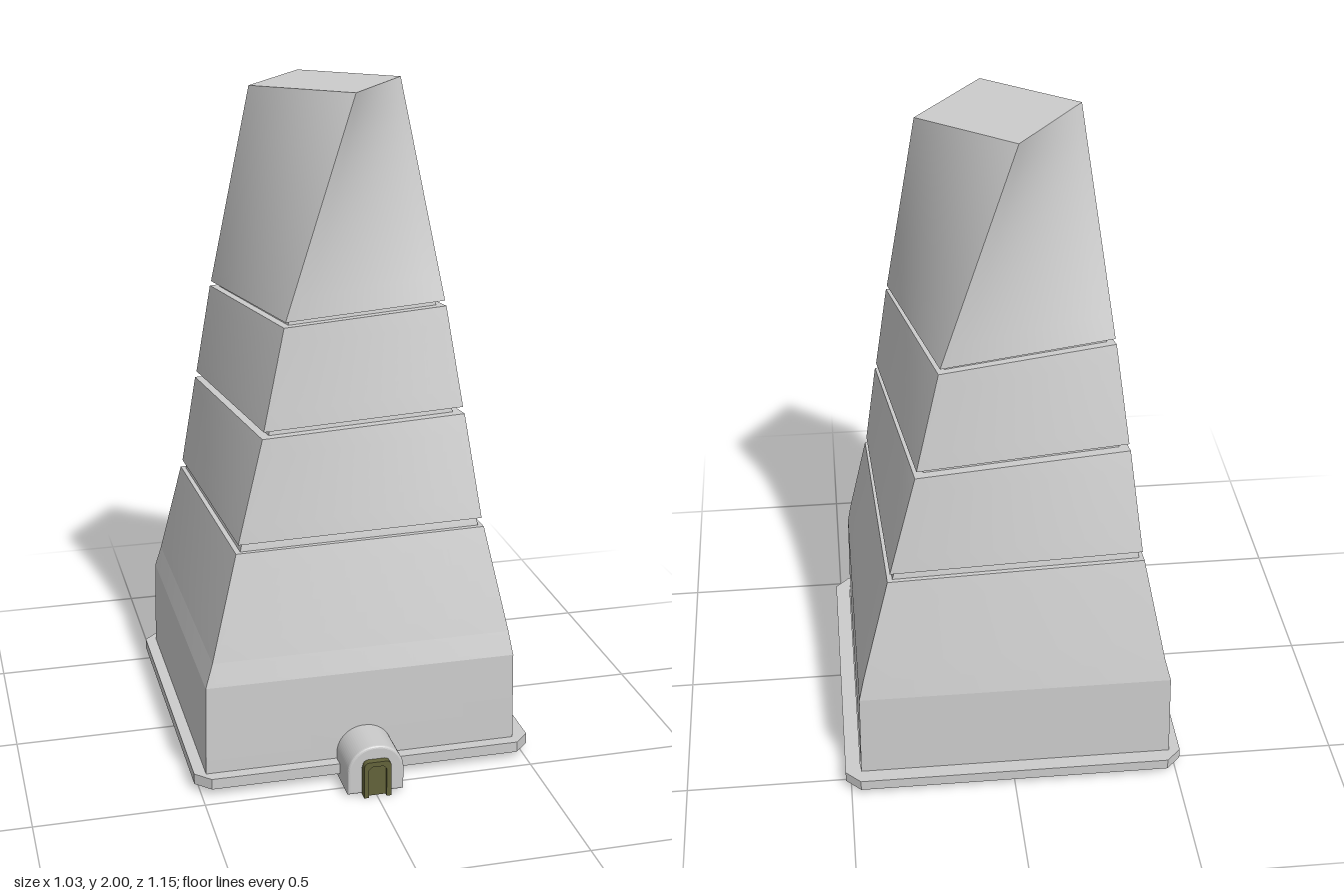
import * as THREE from 'three';

const grey = new THREE.MeshStandardMaterial({ color: 0xcccccc });
const greyOpen = new THREE.MeshStandardMaterial({ color: 0xcccccc, side: THREE.DoubleSide });
const olive = new THREE.MeshStandardMaterial({ color: 0x62623a, side: THREE.DoubleSide });

// Four corners of a turned square; (-a, b) is the front corner at the viewer's left
function ring([y, a, b, cx = 0, cz = -0.06]) {
  return [[-a, b], [b, a], [a, -b], [-b, -a]].map(([x, z]) => new THREE.Vector3(x + cx, y, z + cz));
}

// Smooth ruled patch between a lower and an upper edge
function patch(p, q, r, s, n) {
  const pos = [], idx = [];
  for (let j = 0; j <= n; j++) {
    for (let i = 0; i <= n; i++) {
      const low = p.clone().lerp(q, i / n), high = r.clone().lerp(s, i / n);
      pos.push(...low.lerp(high, j / n).toArray());
    }
  }
  for (let j = 0; j < n; j++) {
    for (let i = 0; i < n; i++) {
      const k = j * (n + 1) + i;
      idx.push(k, k + 1, k + n + 1, k + 1, k + n + 2, k + n + 1);
    }
  }
  const g = new THREE.BufferGeometry();
  g.setAttribute('position', new THREE.Float32BufferAttribute(pos, 3));
  g.setIndex(idx);
  g.computeVertexNormals();
  return g;
}

// Four walls joining each pair of neighbouring rings
function walls(levels, name, n = 6) {
  const group = new THREE.Group();
  group.name = name;
  const rings = levels.map(ring);
  for (let k = 0; k < rings.length - 1; k++) {
    for (let i = 0; i < 4; i++) {
      const j = (i + 1) % 4, lo = rings[k], hi = rings[k + 1];
      const mesh = new THREE.Mesh(patch(lo[i], lo[j], hi[i], hi[j], n), greyOpen);
      mesh.name = name + 'Wall';
      group.add(mesh);
    }
  }
  return group;
}

// Square outline with cut corners
function cutSquare(target, h, c) {
  const pts = [[-h + c, -h], [h - c, -h], [h, -h + c], [h, h - c], [h - c, h], [-h + c, h], [-h, h - c], [-h, -h + c]];
  return target.setFromPoints(pts.map(([x, y]) => new THREE.Vector2(x, y)));
}

// Arch-shaped rail section, open at the bottom
function archShape(w, top, r, iw, itop, ir, y0) {
  const s = new THREE.Shape();
  s.moveTo(w, y0);
  s.lineTo(w, top - r);
  s.absarc(w - r, top - r, r, 0, Math.PI / 2, false);
  s.absarc(-w + r, top - r, r, Math.PI / 2, Math.PI, false);
  s.lineTo(-w, y0);
  s.lineTo(-iw, y0);
  s.lineTo(-iw, itop - ir);
  s.lineTo(-iw + ir, itop);
  s.lineTo(iw - ir, itop);
  s.lineTo(iw, itop - ir);
  s.lineTo(iw, y0);
  s.closePath();
  return s;
}

export function createModel() {
  const model = new THREE.Group();

  // Hollow body: upright foot, then sections that twist as they rise
  model.add(walls([
    [0.05, 0.475, 0.475, -0.007, -0.055],
    [0.33, 0.47, 0.47, -0.006, -0.055],
    [0.4, 0.45, 0.456, -0.002, -0.057],
    [0.71, 0.365, 0.397],
  ], 'lowerBody'));
  model.add(walls([[0.735, 0.357, 0.392], [1.04, 0.275, 0.358]], 'middleBody'));
  model.add(walls([[1.06, 0.27, 0.354], [1.355, 0.2, 0.318]], 'upperBody'));
  model.add(walls([[1.37, 0.195, 0.315], [2, -0.03, 0.235]], 'spire', 10));

  // Recessed grooves between the sections
  model.add(walls([[0.71, 0.365, 0.397], [0.71, 0.35, 0.383], [0.735, 0.343, 0.379], [0.735, 0.357, 0.392]], 'lowerGroove', 1));
  model.add(walls([[1.04, 0.275, 0.358], [1.04, 0.25, 0.328], [1.06, 0.246, 0.325], [1.06, 0.27, 0.354]], 'middleGroove', 1));
  model.add(walls([[1.355, 0.2, 0.318], [1.355, 0.182, 0.291], [1.37, 0.18, 0.288], [1.37, 0.195, 0.315]], 'upperGroove', 1));

  // Flat top
  const t = ring([2, -0.03, 0.235]);
  const cap = new THREE.Mesh(patch(t[0], t[1], t[3], t[2], 1), greyOpen);
  cap.name = 'topCap';
  model.add(cap);

  // Base rim, open in the middle
  const rim = cutSquare(new THREE.Shape(), 0.516, 0.045);
  rim.holes.push(cutSquare(new THREE.Path(), 0.47, 0.02));
  const rimGeo = new THREE.ExtrudeGeometry(rim, { depth: 0.033, bevelEnabled: false });
  rimGeo.rotateX(-Math.PI / 2);
  const base = new THREE.Mesh(rimGeo, grey);
  base.name = 'baseRim';
  base.position.set(0, 0.023, -0.06);
  model.add(base);

  // Arched catch housing through the front rim
  const housing = new THREE.Mesh(new THREE.ExtrudeGeometry(
    archShape(0.078, 0.148, 0.075, 0.048, 0.112, 0.02, 0.012),
    { depth: 0.289, bevelThickness: 0.008, bevelSize: 0.007, bevelSegments: 3, curveSegments: 10 }), grey);
  housing.name = 'catchHousing';
  housing.position.z = 0.258;
  model.add(housing);

  // Catch slider: ribbed channel inside the housing
  const slider = new THREE.Group();
  slider.name = 'catchSlider';
  const channel = new THREE.Mesh(new THREE.ExtrudeGeometry(
    archShape(0.041, 0.115, 0.016, 0.027, 0.1, 0.01, 0),
    { depth: 0.325, bevelEnabled: false, curveSegments: 2 }), olive);
  channel.name = 'sliderChannel';
  channel.position.z = 0.25;
  slider.add(channel);
  for (const z of [0.262, 0.41, 0.558]) {
    const rib = new THREE.Mesh(new THREE.BoxGeometry(0.056, 0.1, 0.014), olive);
    rib.name = 'sliderRib';
    rib.position.set(0, 0.052, z);
    slider.add(rib);
  }
  model.add(slider);

  return model;
}
